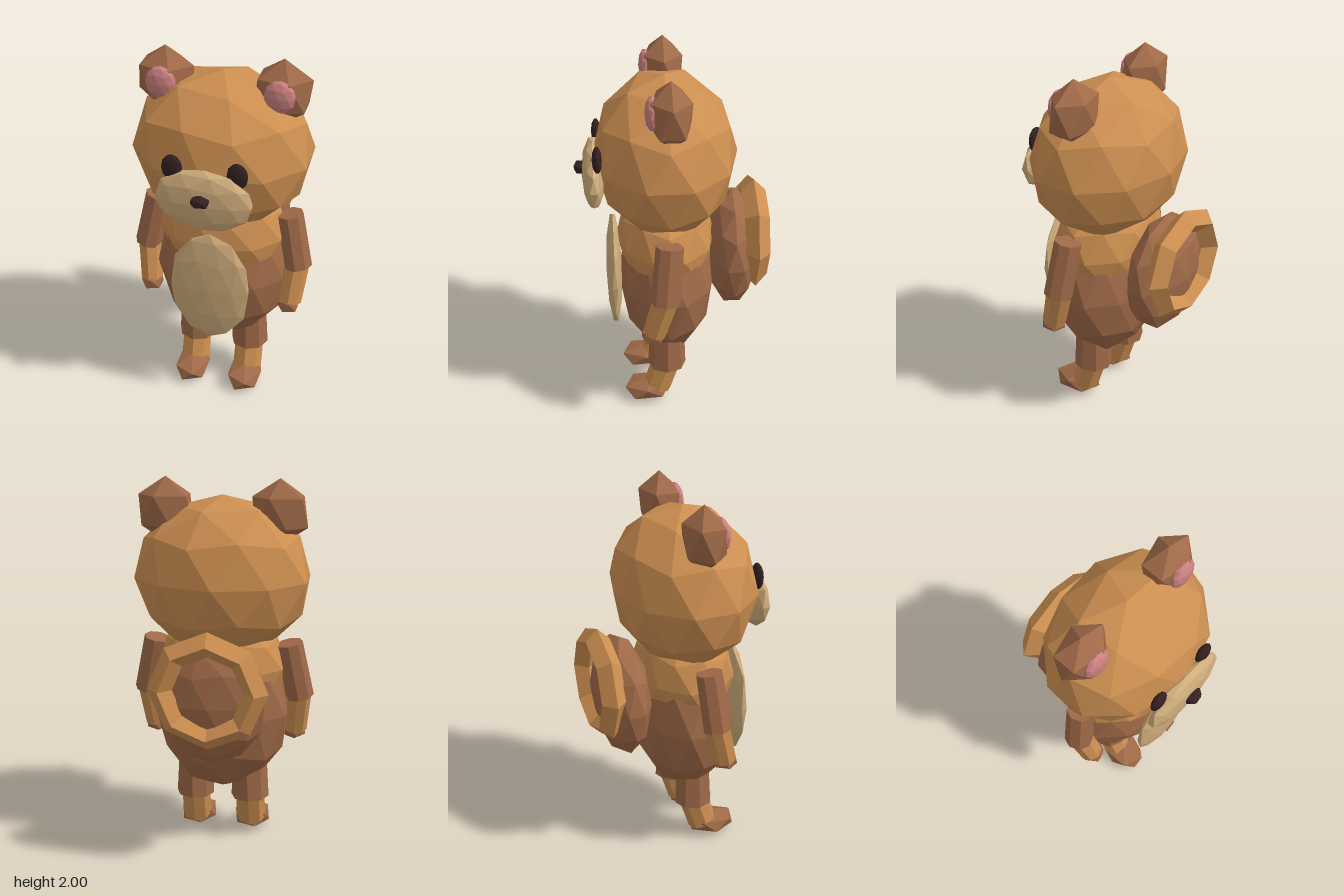
import * as THREE from 'three';

const mat = (name, color) => {
  const m = new THREE.MeshStandardMaterial({ color, flatShading: true });
  m.name = name;
  return m;
};

export function createModel() {
  const model = new THREE.Group();
  model.name = 'bear';

  const orange = mat('orange fur', 0xcd8f51);
  const brown = mat('brown fur', 0xa06a48);
  const cream = mat('cream fur', 0xcfad7b);
  const pink = mat('inner ear pink', 0xcc8080);
  const dark = mat('dark eyes and nose', 0x33201f);

  // Faceted ellipsoid with its poles on the y axis
  const blob = (name, material, [x, y, z], [rx, ry, rz], detail = 1) => {
    const g = new THREE.IcosahedronGeometry(1, detail);
    g.rotateZ(-Math.atan2(2, 1 + Math.sqrt(5)));
    g.scale(rx, ry, rz);
    const mesh = new THREE.Mesh(g, material);
    mesh.name = name;
    mesh.position.set(x, y, z);
    model.add(mesh);
    return mesh;
  };

  // Eight-sided limb segment from a to b
  const limb = (name, material, a, b, ra, rb) => {
    const top = new THREE.Vector3(...a);
    const bottom = new THREE.Vector3(...b);
    const axis = top.clone().sub(bottom);
    const mesh = new THREE.Mesh(new THREE.CylinderGeometry(ra, rb, axis.length(), 8), material);
    mesh.name = name;
    mesh.position.copy(top).add(bottom).multiplyScalar(0.5);
    mesh.quaternion.setFromUnitVectors(new THREE.Vector3(0, 1, 0), axis.normalize());
    model.add(mesh);
  };

  // Head and torso
  blob('head', orange, [0, 1.48, 0.032], [0.476, 0.43, 0.376]);
  blob('chest', orange, [0, 1.0, 0.03], [0.35, 0.3, 0.265]);
  blob('body', brown, [0, 0.745, 0.025], [0.373, 0.46, 0.265]);
  blob('belly', cream, [0, 0.778, 0.312], [0.22, 0.34, 0.043]);

  // Face
  blob('muzzle', cream, [0, 1.378, 0.403], [0.256, 0.174, 0.062]);
  blob('nose', dark, [0, 1.41, 0.468], [0.055, 0.036, 0.041], 0);

  // Tail and its diamond-section ring
  blob('tail', brown, [0, 0.9, -0.325], [0.293, 0.335, 0.143]);
  const ring = new THREE.Mesh(new THREE.TorusGeometry(0.245, 0.065, 4, 8), orange);
  ring.name = 'tailRing';
  ring.position.set(0, 0.99, -0.438);
  model.add(ring);

  // Paired parts
  for (const [side, s] of [['left', 1], ['right', -1]]) {
    blob(side + 'Eye', dark, [s * 0.165, 1.53, 0.382], [0.054, 0.073, 0.026]);
    blob(side + 'Ear', brown, [s * 0.3, 1.827, 0.022], [0.163, 0.173, 0.118], 0);
    blob(side + 'InnerEar', pink, [s * 0.3, 1.838, 0.112], [0.08, 0.088, 0.037]);

    limb(side + 'UpperArm', brown, [s * 0.36, 1.13, 0.033], [s * 0.42, 0.825, 0.06], 0.072, 0.077);
    limb(side + 'Forearm', orange, [s * 0.413, 0.85, 0.055], [s * 0.393, 0.62, 0.115], 0.07, 0.063);
    blob(side + 'Hand', brown, [s * 0.388, 0.61, 0.122], [0.068, 0.058, 0.072], 0);

    limb(side + 'Thigh', brown, [s * 0.15, 0.5, 0.035], [s * 0.155, 0.233, 0.035], 0.094, 0.105);
    limb(side + 'Shin', orange, [s * 0.155, 0.26, 0.032], [s * 0.155, 0.08, 0.09], 0.081, 0.081);
    const foot = blob(side + 'Foot', brown, [s * 0.155, 0.066, 0.145], [0.108, 0.066, 0.148], 0);
    foot.rotation.x = 0.06;
  }
  return model;
}
